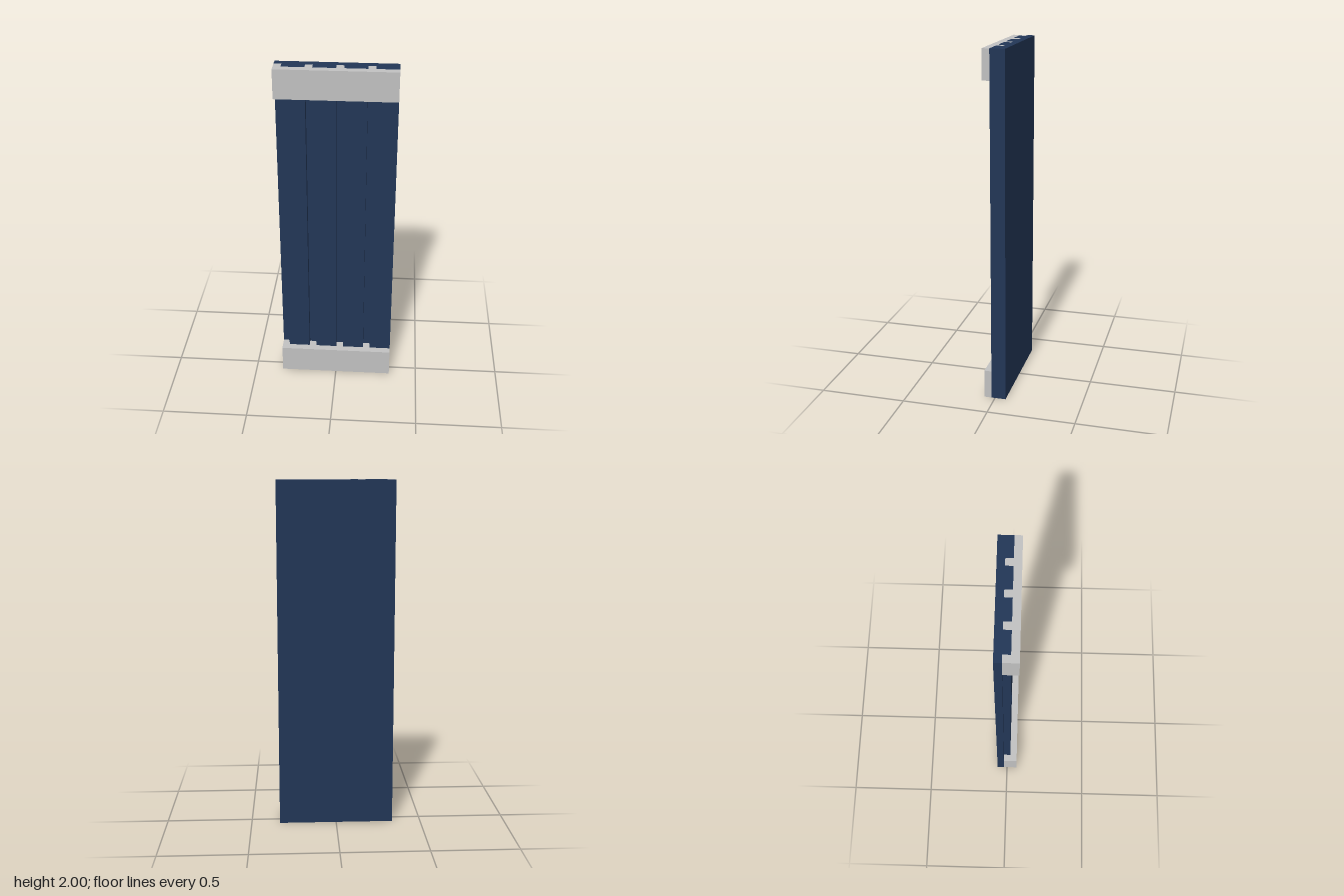
import * as THREE from 'three';

const U = 1 / 24; // panel module: 16 wide, 48 tall, 3 deep
const navy = new THREE.MeshStandardMaterial({ color: 0x223656 });
navy.name = 'navy';
const grey = new THREE.MeshStandardMaterial({ color: 0xc1c1c1 });
grey.name = 'light grey';

// Extrude a plan outline of [x, z] points upward from y0 (all in modules)
function prism(name, plan, y0, height, material) {
  const shape = new THREE.Shape(plan.map(([x, z]) => new THREE.Vector2(x * U, -z * U)));
  const geo = new THREE.ExtrudeGeometry(shape, { depth: height * U, bevelEnabled: false });
  geo.rotateX(-Math.PI / 2);
  geo.translate(0, y0 * U, 0);
  const mesh = new THREE.Mesh(geo, material);
  mesh.name = name;
  return mesh;
}

export function createModel() {
  const group = new THREE.Group();
  group.name = 'ribbedPanel';

  // Ribbed front contour: a one-module groove, then a three-module rib, four times
  const contour = [];
  for (let x = -8; x < 8; x += 4) {
    contour.push([x, -0.5], [x + 1, -0.5], [x + 1, 0.5], [x + 4, 0.5]);
  }

  // Full-height panel with vertical grooves
  group.add(prism('groovedPanel', [...contour, [8, -1.5], [-8, -1.5]], 0, 48, navy));

  // Cross bars at bottom and top, filling the grooves behind them
  const bar = [...contour, [8, 1.5], [-8, 1.5]];
  group.add(prism('bottomBar', bar, 0, 4, grey));
  group.add(prism('topBar', bar, 44, 4, grey));
  return group;
}
